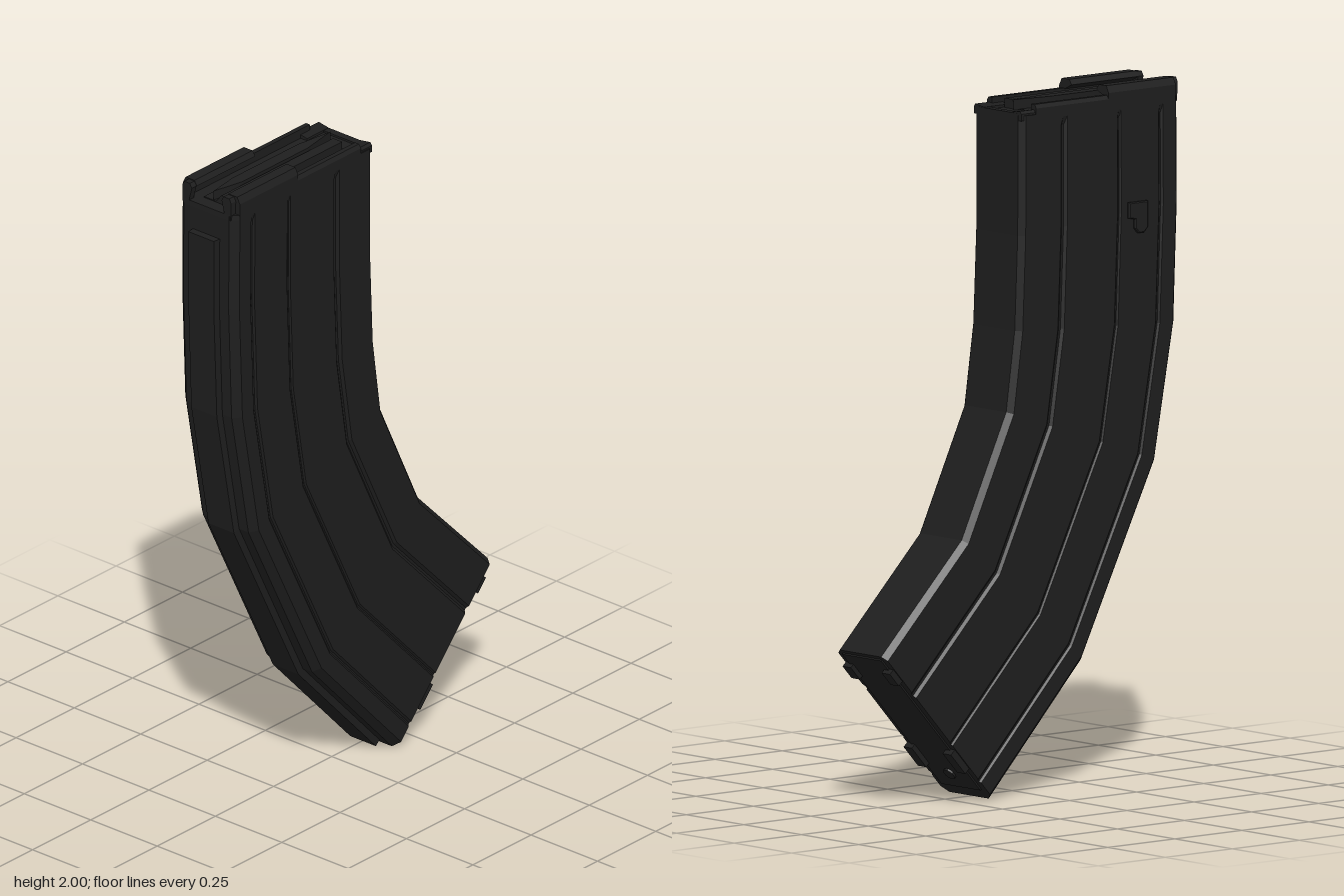
import * as THREE from 'three';

const black = new THREE.MeshStandardMaterial({ color: 0x1e1e1e, flatShading: true });
black.name = 'matte black';

// Stations along the curve: [rear x, rear y, front x, front y, groove strength]
const STATIONS = [
  [-0.54, 1.945, 0.053, 1.945, 0],
  [-0.541, 1.93, 0.053, 1.93, 0],
  [-0.541, 1.905, 0.053, 1.905, 1],
  [-0.543, 1.65, 0.054, 1.6, 1],
  [-0.53, 1.3, 0.065, 1.33, 1],
  [-0.458, 0.91, 0.097, 1.1, 1],
  [-0.185, 0.365, 0.263, 0.75, 1],
  [0.158, 0.0, 0.563, 0.445, 1],
];
const HALF = 0.1075; // half thickness of the body

// Lofts a ring of [t, z] points through stations; t runs from rear (0) to front (1)
function loft(stations, ringAt) {
  const rings = stations.map((s) => ringAt(s[4]).map(([t, z]) =>
    [s[0] + (s[2] - s[0]) * t, s[1] + (s[3] - s[1]) * t, z]));
  const n = rings[0].length, pos = [];
  const tri = (a, b, c) => pos.push(...a, ...b, ...c);
  for (let i = 0; i < rings.length - 1; i++) {
    for (let j = 0; j < n; j++) {
      const k = (j + 1) % n, A = rings[i], B = rings[i + 1];
      tri(A[j], B[k], B[j]);
      tri(A[j], A[k], B[k]);
    }
  }
  // End caps, each triangle oriented from its signed area
  const outline = ringAt(1).map(([t, z]) => new THREE.Vector2(t, z));
  const first = rings[0], last = rings[rings.length - 1];
  for (const [a, b, c] of THREE.ShapeUtils.triangulateShape(outline, [])) {
    const p = outline[a], q = outline[b], r = outline[c];
    const ccw = (q.x - p.x) * (r.y - p.y) - (q.y - p.y) * (r.x - p.x) > 0;
    const [u, v] = ccw ? [b, c] : [c, b];
    tri(first[a], first[v], first[u]);
    tri(last[a], last[u], last[v]);
  }
  const g = new THREE.BufferGeometry();
  g.setAttribute('position', new THREE.Float32BufferAttribute(pos, 3));
  g.computeVertexNormals();
  return g;
}

// Cross-section with chamfered corners and three pressed grooves on each side
function bodyRing(strength) {
  const side = [[0, 0.085], [0.035, HALF]];
  for (const [t, w, d] of [[0.13, 0.014, 0.005], [0.39, 0.012, 0.004], [0.735, 0.02, 0.007]]) {
    side.push([t - w, HALF], [t - w * 0.3, HALF - d * strength],
      [t + w * 0.3, HALF - d * strength], [t + w, HALF]);
  }
  side.push([0.975, HALF], [1, 0.09]);
  const far = side.map(([t, z]) => [t, -z]);
  return [...far, ...side.reverse()];
}

// Extrudes a [z, y] outline along x
function extrudeX(points, x0, x1) {
  const shape = new THREE.Shape(points.map(([z, y]) => new THREE.Vector2(-z, y)));
  const g = new THREE.ExtrudeGeometry(shape, { depth: x1 - x0, bevelEnabled: false });
  return g.rotateY(Math.PI / 2).translate(x0, 0, 0);
}

function box(x0, x1, y0, y1, z0, z1) {
  return new THREE.BoxGeometry(x1 - x0, y1 - y0, z1 - z0)
    .translate((x0 + x1) / 2, (y0 + y1) / 2, (z0 + z1) / 2);
}

export function createModel() {
  const root = new THREE.Group();
  root.name = 'curvedMagazine';
  const model = new THREE.Group();
  model.name = 'magazineParts';
  model.position.z = 0.0025;
  root.add(model);
  const add = (name, geometry, parent = model) => {
    const mesh = new THREE.Mesh(geometry, black);
    mesh.name = name;
    parent.add(mesh);
  };

  // Curved shell
  add('body', loft(STATIONS, bodyRing));

  // Raised rib down the rear edge
  const spine = STATIONS.slice(3, 7);
  spine.unshift([-0.543, 1.86, 0.053, 1.86, 1]);
  spine.push([0.146, 0.014, 0.551, 0.459, 1]);
  add('rearSpine', loft(spine, () =>
    [[-0.036, -0.048], [0.03, -0.052], [0.03, 0.052], [-0.036, 0.048]]));

  // Feed lips and top rails, mirrored across z
  for (const s of [1, -1]) {
    const m = (pts) => pts.map(([z, y]) => [z * s, y]);
    add('feedLip', extrudeX(m([[0.085, 1.93], [HALF, 1.93], [HALF, 1.98],
      [0.097, 2], [0.064, 2], [0.054, 1.985], [0.085, 1.97]]), -0.52, -0.27));
    add('feedLipEnd', extrudeX(m([[0.07, 1.93], [0.09, 1.93], [0.092, 1.985], [0.085, 1.998],
      [0.064, 1.998], [0.056, 1.985]]), -0.54, -0.52));
    add('sideRail', extrudeX(m([[0.085, 1.93], [HALF, 1.93], [HALF, 1.962], [0.1, 1.973],
      [0.085, 1.973]]), -0.27, 0.0));
    add('frontCorner', extrudeX(m([[0.06, 1.93], [HALF - 0.004, 1.93], [HALF - 0.004, 1.95],
      [0.097, 1.958], [0.06, 1.952]]), -0.04, 0.052));
  }
  add('frontLip', box(0.03, 0.053, 1.93, 1.951, -0.09, 0.09));

  // Follower with an offset ridge
  add('follower', extrudeX([[0.054, 1.94], [0.054, 1.972], [0.02, 1.972], [0, 1.948],
    [-0.045, 1.948], [-0.045, 1.94]], -0.5, -0.02));
  const ridge = new THREE.Shape([[-0.5, 0.01], [-0.4, -0.012], [-0.12, -0.012], [0, 0.008],
    [-0.12, 0.025], [-0.4, 0.025]].map(([x, y]) => new THREE.Vector2(x, y)));
  add('followerRidge', new THREE.ExtrudeGeometry(ridge, { depth: 0.03, bevelEnabled: false })
    .rotateX(-Math.PI / 2).translate(0, 1.946, 0));

  // Catch on the back face
  const catchShape = new THREE.Shape([[-0.41, 1.66], [-0.41, 1.585], [-0.395, 1.57], [-0.375, 1.57],
    [-0.362, 1.585], [-0.362, 1.61], [-0.34, 1.615], [-0.34, 1.66]]
    .map(([x, y]) => new THREE.Vector2(x, y)));
  add('catchTab', new THREE.ExtrudeGeometry(catchShape, {
    depth: 0.01, bevelEnabled: true, bevelSize: 0.003, bevelThickness: 0.003, bevelOffset: -0.003, bevelSegments: 1,
  }).translate(0, 0, -0.1145));

  // Floor plate: local x runs rear to front, -y points out of the base
  const floor = new THREE.Group();
  floor.name = 'floorPlate';
  floor.position.set(0.158, 0, 0);
  floor.rotation.z = Math.atan2(0.445, 0.405);
  model.add(floor);
  add('plate', box(0.04, 0.59, -0.005, 0.01, -0.085, 0.085), floor);
  for (const s of [1, -1]) {
    add('rearTab', box(0.13, 0.21, -0.02, 0.01, s * 0.085 - 0.018, s * 0.085 + 0.018), floor);
    add('frontTab', box(0.5, 0.55, -0.018, 0.01, s * 0.085 - 0.018, s * 0.085 + 0.018), floor);
  }
  add('releaseButton', new THREE.CylinderGeometry(0.02, 0.02, 0.012, 16)
    .translate(0.1, -0.005, 0), floor);
  return root;
}
